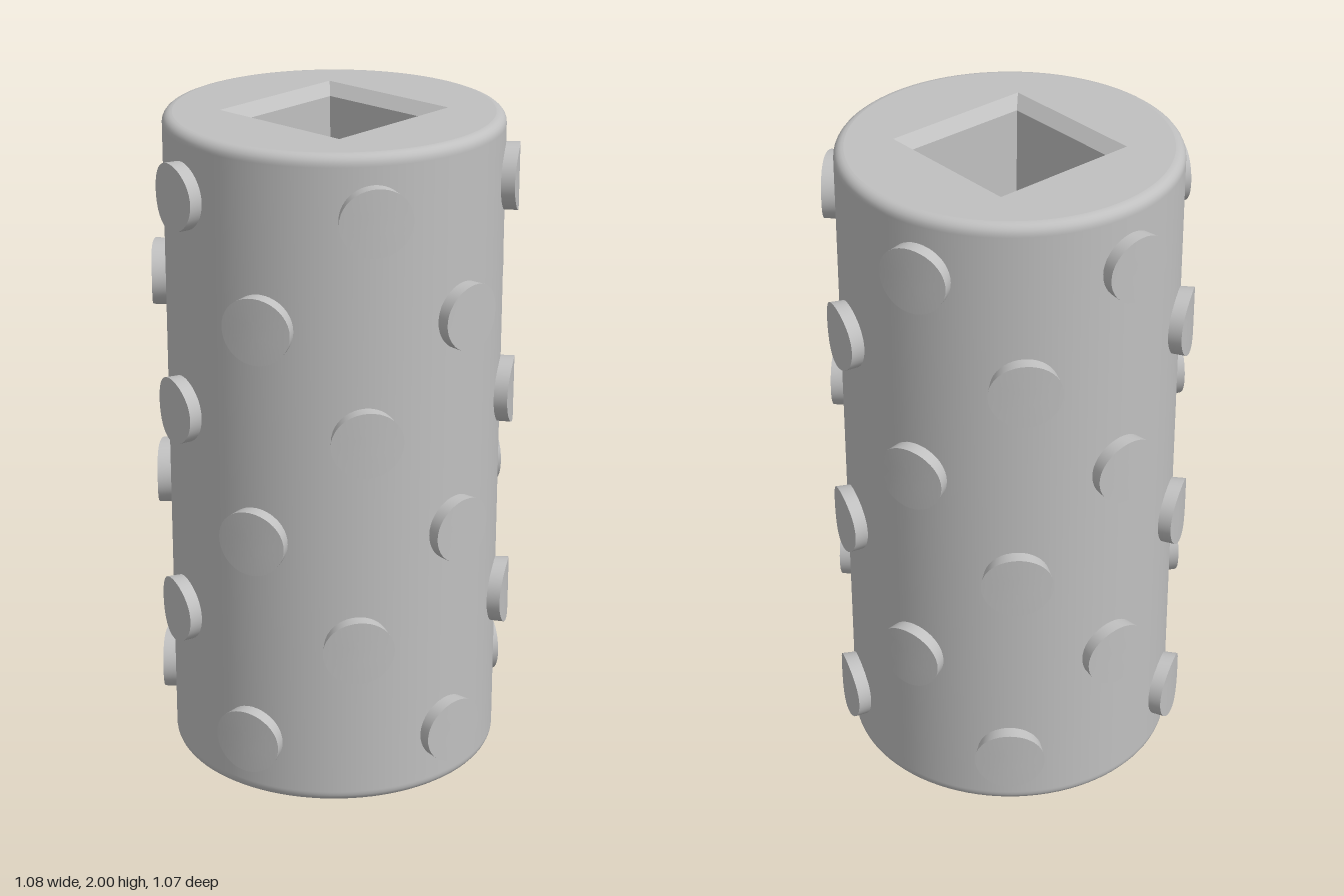
import * as THREE from 'three';
import { toCreasedNormals } from 'three/addons/utils/BufferGeometryUtils.js';

const R = 0.497, H = 2, FILLET = 0.03;
const STUD_R = 0.0985, STUD_OUTER = 0.538, STUD_INNER = 0.48;
const V = (x, y) => new THREE.Vector2(x, y);

// Outer wall with rounded rims
function wallGeometry() {
  const pts = [], n = 6;
  for (let i = 0; i <= n; i++) {
    const a = (i / n) * Math.PI / 2;
    pts.push(V(R - FILLET + FILLET * Math.sin(a), FILLET - FILLET * Math.cos(a)));
  }
  pts.push(V(R, FILLET + 0.005));
  const upper = pts.map((p) => V(p.x, H - p.y)).reverse();
  return new THREE.LatheGeometry([...pts, ...upper], 96);
}

// Flat end ring around the square socket
function endGeometry(half) {
  const shape = new THREE.Shape().absarc(0, 0, R - FILLET, 0, Math.PI * 2);
  shape.holes.push(new THREE.Path([V(-half, -half), V(-half, half), V(half, half), V(half, -half)]));
  return new THREE.ShapeGeometry(shape, 96).rotateX(-Math.PI / 2);
}

// Four-sided socket with a chamfered mouth and a closed floor
function socketGeometry(outer, inner, chamfer, depth) {
  const s = Math.SQRT2;
  const pts = [V(outer * s, 0), V(inner * s, -chamfer), V(inner * s, -depth), V(0, -depth)];
  const geo = new THREE.LatheGeometry(pts, 4, Math.PI / 4).toNonIndexed();
  geo.computeVertexNormals();
  return geo;
}

// Round stud wrapped onto the cylinder, facing +z
function studGeometry() {
  const pts = [V(STUD_R, STUD_INNER), V(STUD_R, STUD_OUTER), V(STUD_R * 0.66, STUD_OUTER),
    V(STUD_R * 0.33, STUD_OUTER), V(0, STUD_OUTER)];
  const geo = new THREE.LatheGeometry(pts, 40);
  const p = geo.attributes.position;
  for (let i = 0; i < p.count; i++) {
    const angle = p.getX(i) / R, radius = p.getY(i);
    p.setXYZ(i, radius * Math.sin(angle), -p.getZ(i), radius * Math.cos(angle));
  }
  return toCreasedNormals(geo, Math.PI / 5);
}

export function createModel() {
  const grey = new THREE.MeshStandardMaterial({ color: 0xc0c0c0 });
  grey.name = 'plain grey';
  const model = new THREE.Group();
  model.name = 'studdedRoller';
  const add = (parent, name, geo) => {
    const mesh = new THREE.Mesh(geo, grey);
    mesh.name = name;
    parent.add(mesh);
    return mesh;
  };

  add(model, 'rollerWall', wallGeometry());

  // Matching ends, the lower one turned over
  const ring = endGeometry(0.233), socket = socketGeometry(0.233, 0.2, 0.035, 0.6);
  for (const top of [true, false]) {
    const end = new THREE.Group();
    end.name = top ? 'topEnd' : 'bottomEnd';
    add(end, 'endRing', ring);
    add(end, 'squareSocket', socket);
    end.position.y = top ? H : 0;
    end.rotation.x = top ? 0 : Math.PI;
    model.add(end);
  }

  // Six rows of five studs, each row turned a little under half a step
  const stud = studGeometry();
  for (let row = 0; row < 6; row++) {
    for (let k = 0; k < 5; k++) {
      const mesh = add(model, 'stud', stud);
      mesh.position.y = 1.815 - row * 0.325;
      mesh.rotation.y = THREE.MathUtils.degToRad(-16.8 + 34.8 * row + 72 * k);
    }
  }
  return model;
}
